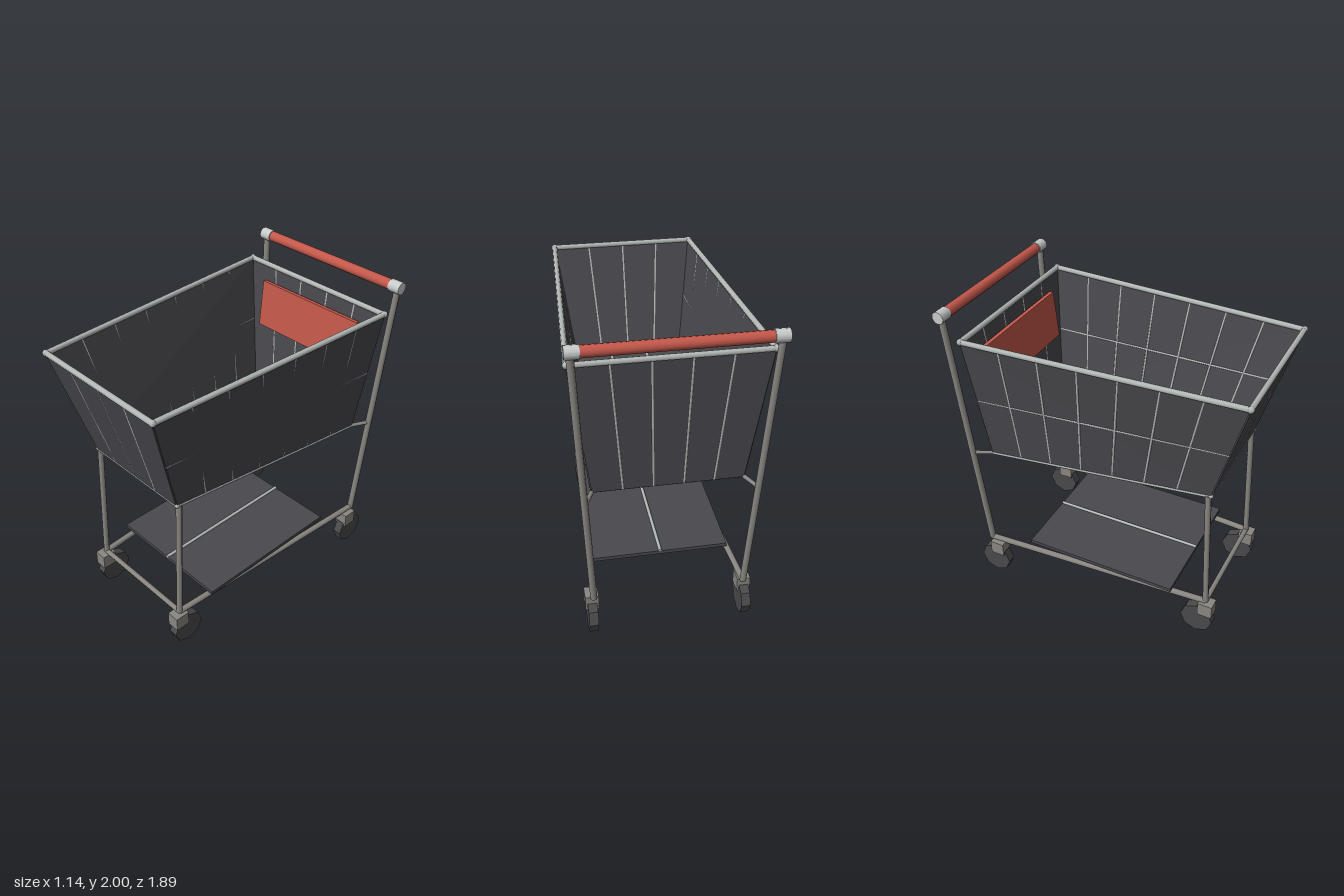
import * as THREE from 'three';

const material = (name, color, extra = {}) => {
  const m = new THREE.MeshStandardMaterial({ color, ...extra });
  m.name = name;
  return m;
};
const V = (x, y, z) => new THREE.Vector3(x, y, z);
const UP = V(0, 1, 0);

export function createModel() {
  const cart = new THREE.Group();
  cart.name = 'shoppingCart';
  const frameGrey = material('frameGrey', 0x8a8782);
  const wireSilver = material('wireSilver', 0xb4b9b6);
  const capSilver = material('capSilver', 0xc8cccb);
  const panelDark = material('panelDark', 0x4a494e);
  const wheelDark = material('wheelDark', 0x4a4a4c, { flatShading: true });
  const gripRed = material('gripRed', 0xc4584b);

  const add = (name, geometry, mat) => {
    const mesh = new THREE.Mesh(geometry, mat);
    mesh.name = name;
    cart.add(mesh);
    return mesh;
  };
  // Straight tube between two points
  const tube = (name, a, b, r, mat, sides = 8) => {
    const mesh = add(name, new THREE.CylinderGeometry(r, r, a.distanceTo(b), sides), mat);
    mesh.position.copy(a).lerp(b, 0.5);
    mesh.quaternion.setFromUnitVectors(UP, b.clone().sub(a).normalize());
    return mesh;
  };
  const box = (name, w, h, d, pos, mat) => {
    const mesh = add(name, new THREE.BoxGeometry(w, h, d), mat);
    mesh.position.copy(pos);
    return mesh;
  };
  // Thin four-cornered sheet, folded along the a-c diagonal
  const sheet = (name, a, b, c, d, t = 0.0068) => {
    const n = c.clone().sub(a).cross(d.clone().sub(b)).normalize().multiplyScalar(t);
    const q = [a, b, c, d];
    const pts = [...q.map(p => p.clone().add(n)), ...q.map(p => p.clone().sub(n))];
    const faces = [0, 1, 2, 0, 2, 3, 4, 6, 5, 4, 7, 6];
    for (let i = 0; i < 4; i++) {
      const j = (i + 1) % 4;
      faces.push(i, i + 4, j + 4, i, j + 4, j);
    }
    const g = new THREE.BufferGeometry().setFromPoints(faces.map(i => pts[i]));
    g.computeVertexNormals();
    return add(name, g, panelDark);
  };
  // Evenly spaced rods from edge a-b to edge c-d
  const rods = (name, a, b, c, d, count, r) => {
    for (let i = 1; i <= count; i++) {
      const f = i / (count + 1);
      tube(name, a.clone().lerp(b, f), c.clone().lerp(d, f), r, wireSilver, 8);
    }
  };

  // Basket corners
  const corners = s => ({
    ft: V(s * 0.46, 1.83, 0.92), bt: V(s * 0.55, 1.83, -0.79),
    fb: V(s * 0.365, 1.11, 0.71), bb: V(s * 0.44, 0.99, -0.73),
  });
  const L = corners(1), R = corners(-1);

  // Basket panels
  sheet('leftPanel', L.ft, L.bt, L.bb, L.fb);
  sheet('rightPanel', R.fb, R.ft, R.bt, R.bb);
  sheet('frontPanel', L.ft, R.ft, R.fb, L.fb);
  sheet('backPanel', L.bt, R.bt, R.bb, L.bb);
  sheet('floorPanel', L.fb, R.fb, R.bb, L.bb);

  // Basket wires
  rods('frontWire', L.ft, R.ft, L.fb, R.fb, 3, 0.009);
  rods('backWire', L.bt, R.bt, L.bb, R.bb, 4, 0.009);
  rods('floorWire', L.fb, R.fb, L.bb, R.bb, 2, 0.012);
  for (const c of [L, R]) {
    rods('sideWire', c.ft, c.bt, c.fb, c.bb, 6, 0.008);
    rods('sideMidWire', c.ft, c.fb, c.bt, c.bb, 1, 0.008);
  }

  // Rim and lower rails
  tube('frontRim', L.ft, R.ft, 0.017, wireSilver);
  tube('backRim', L.bt, R.bt, 0.017, wireSilver);
  tube('frontLowerRail', L.fb, R.fb, 0.011, wireSilver);

  for (const [s, c] of [[1, L], [-1, R]]) {
    tube('sideRim', c.ft, c.bt, 0.017, wireSilver);
    tube('sideLowerRail', c.fb, c.bb, 0.012, wireSilver);
    for (const [p, r] of [[c.ft, 0.021], [c.bt, 0.021], [c.fb, 0.016]]) {
      add('cornerJoint', new THREE.SphereGeometry(r, 8, 6), wireSilver).position.copy(p);
    }

    // Legs, posts and base rails
    const frontFoot = V(s * 0.37, 0.26, 0.73), backFoot = V(s * 0.46, 0.26, -0.80);
    const postTop = V(s * 0.54, 1.965, -0.91);
    tube('frontLeg', c.fb.clone().setZ(0.695), frontFoot, 0.019, frameGrey);
    tube('backPost', backFoot, postTop, 0.021, frameGrey);
    tube('baseRail', frontFoot, backFoot, 0.02, frameGrey);
    tube('basketBracket', c.bb, backFoot.clone().lerp(postTop, 0.427), 0.013, frameGrey);

    // Handle cap
    tube('handleCap', V(s * 0.49, 1.962, -0.91), V(s * 0.57, 1.962, -0.91), 0.038, capSilver, 12);

    // Casters
    for (const [x, forkZ, wheelZ] of [[0.37, 0.74, 0.683], [0.47, -0.74, -0.766]]) {
      box('casterFork', 0.082, 0.095, 0.095, V(s * x, 0.208, forkZ), frameGrey);
      const wheel = add('wheel', new THREE.CylinderGeometry(0.107, 0.107, 0.057, 8), wheelDark);
      wheel.rotation.z = Math.PI / 2;
      wheel.position.set(s * x, 0.107, wheelZ);
    }
  }
  tube('frontBaseRail', V(-0.37, 0.26, 0.73), V(0.37, 0.26, 0.73), 0.017, frameGrey);

  // Handle grip
  tube('handleGrip', V(-0.49, 1.962, -0.91), V(0.49, 1.962, -0.91), 0.033, gripRed, 12);

  // Seat flap on the back wall
  box('seatFlap', 0.79, 0.31, 0.028, V(0, 1.575, -0.735), gripRed).rotation.x = -0.1;

  // Lower tray with a centre wire
  box('lowerTray', 0.86, 0.024, 1.02, V(0, 0.304, 0), panelDark);
  tube('trayWire', V(0, 0.318, 0.51), V(0, 0.318, -0.51), 0.011, wireSilver);

  return cart;
}
